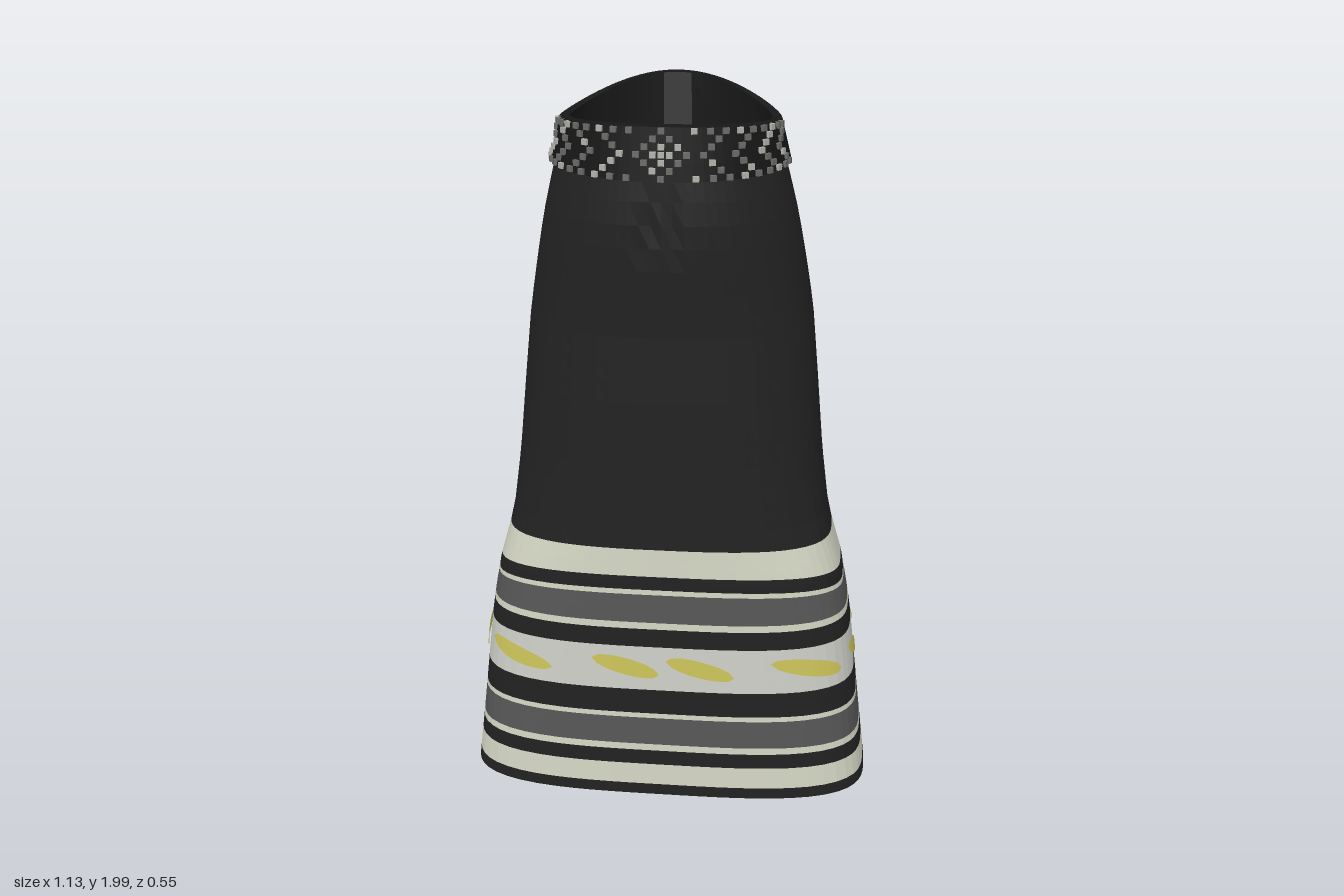
import * as THREE from 'three';
import { mergeGeometries } from 'three/addons/utils/BufferGeometryUtils.js';

const mat = (name, color) => {
  const m = new THREE.MeshStandardMaterial({ color, side: THREE.DoubleSide });
  m.name = name;
  return m;
};
const D = Math.PI / 180;
const SEG = 72;
const bell = (d, w) => Math.exp(-(d * d) / (w * w));

// Skirt cross-sections: height, half width, front z, back z, squareness
const ROWS = [
  [0.00, 0.570, 0.250, -0.250, 3.3],
  [0.20, 0.545, 0.250, -0.248, 3.3],
  [0.50, 0.510, 0.253, -0.245, 3.2],
  [0.70, 0.480, 0.255, -0.242, 3.1],
  [0.77, 0.455, 0.255, -0.238, 3.0],
  [0.82, 0.438, 0.255, -0.238, 2.9],
  [1.00, 0.415, 0.255, -0.250, 2.7],
  [1.20, 0.397, 0.255, -0.265, 2.6],
  [1.40, 0.378, 0.253, -0.276, 2.5],
  [1.50, 0.362, 0.260, -0.270, 2.4],
  [1.60, 0.345, 0.268, -0.255, 2.3],
  [1.70, 0.325, 0.270, -0.230, 2.2],
  [1.80, 0.300, 0.260, -0.190, 2.1],
  [1.86, 0.285, 0.240, -0.170, 2.1],
];

// Point on a rounded-box ring
function ring(t, y, a, zf, zb, n, scale = 1) {
  const c = Math.cos(t), s = Math.sin(t);
  const r = scale / Math.pow(Math.abs(c) ** n + Math.abs(s) ** n, 1 / n);
  return new THREE.Vector3(a * r * c, y, (zf + zb) / 2 + ((zf - zb) / 2) * r * s);
}

// Point on the cloth, with gathers below the waist and a sagging hem
function cloth(t, y, scale = 1) {
  let i = 0;
  while (i < ROWS.length - 2 && y > ROWS[i + 1][0]) i++;
  const A = ROWS[i], B = ROWS[i + 1], k = (y - A[0]) / (B[0] - A[0]);
  const [a, zf, zb, n] = [1, 2, 3, 4].map((j) => A[j] + (B[j] - A[j]) * k);
  const c = Math.cos(t), s = Math.sin(t);
  const deg = (((t / D) % 360) + 360) % 360;
  const lean = (1.75 - y) * 50;
  const gather = bell(deg - 92 - lean, 4) + bell(deg - 84 - lean * 0.4, 4)
    + bell(deg - 262 + lean, 4) + bell(deg - 278 - lean, 4);
  const fold = 1 - 0.04 * gather * bell(y - 1.69, 0.09);
  const sag = 0.03 * c ** 4 * bell(y - 0.69, 0.08)
    + (s < 0 ? 0.02 * Math.abs(Math.sin(2 * t)) * Math.exp(-y / 0.05) : 0);
  return ring(t, y - sag, a, zf, zb, n, scale * fold);
}

// Faceted surface from a grid of points f(u, v)
function loft(nu, nv, f) {
  const pos = [];
  const put = (...ps) => ps.forEach((p) => pos.push(p.x, p.y, p.z));
  for (let j = 0; j < nv; j++) for (let i = 0; i < nu; i++) {
    const a = f(i / nu, j / nv), b = f((i + 1) / nu, j / nv);
    const c = f((i + 1) / nu, (j + 1) / nv), d = f(i / nu, (j + 1) / nv);
    put(a, d, c, a, c, b);
  }
  const g = new THREE.BufferGeometry();
  g.setAttribute('position', new THREE.Float32BufferAttribute(pos, 3));
  g.computeVertexNormals();
  return g;
}

// Belt: top edge rises to a peak at the back
function beltPoint(t, v, inner) {
  const s = Math.sin(t);
  const top = 1.912 + (s > 0 ? 0.014 * s : 0.086 * Math.abs(s) ** 2.5);
  const bottom = 1.81 - 0.018 * s;
  const y = bottom + (top - bottom) * v;
  return inner
    ? ring(t, y, 0.268 - 0.008 * v, 0.225 - 0.013 * v, -0.16 + 0.006 * v, 2.15)
    : ring(t, y, 0.31 - 0.024 * v, 0.266 - 0.014 * v, -0.195 + 0.03 * v, 2.15);
}

export function createModel() {
  const black = mat('black cloth', 0x222222);
  const cream = mat('cream stripe', 0xd6d8c6);
  const pale = mat('pale band', 0xd2d2cc);
  const grey = mat('grey stripe', 0x585858);
  const yellow = mat('yellow leaf', 0xd0c75c);
  const beltBlack = mat('belt black', 0x171717);
  const beadGrey = mat('bead grey', 0x6c6c6a);
  const beadLight = mat('bead light', 0xb4b4ae);
  const claspGrey = mat('clasp grey', 0x3c3c3c);

  const model = new THREE.Group();
  model.name = 'skirt';
  const add = (name, geo, material) => {
    const m = new THREE.Mesh(geo, material);
    m.name = name;
    model.add(m);
  };
  const band = (name, y0, y1, rows, material) =>
    add(name, loft(SEG, rows, (u, v) => cloth(u * 2 * Math.PI, y0 + (y1 - y0) * v)), material);

  // Striped lower part, from the hem up
  const stripes = [
    [0.055, black], [0.12, cream], [0.165, black], [0.185, cream], [0.27, grey],
    [0.285, cream], [0.36, black], [0.495, pale], [0.55, black], [0.57, cream],
    [0.655, grey], [0.67, cream], [0.71, black], [0.79, cream],
  ];
  let y = 0.022;
  stripes.forEach(([top, material], i) => {
    band('stripe' + (i + 1), y, top, 2, material);
    y = top;
  });

  // Plain upper part
  band('upperSkirt', 0.79, 1.86, 18, black);

  // Hem turned inwards
  add('hemFold', loft(SEG, 2, (u, v) =>
    cloth(u * 2 * Math.PI, 0.022 + 0.03 * Math.max(0, v * 2 - 1), 1 - 0.035 * Math.min(1, v * 2))), black);

  // Slanted leaves around the pale band: angle, half spread in degrees
  const leaves = [
    [46, 13], [79, 10], [101, 10], [135, 13], [168, 13], [212, 13],
    [234, 8], [257, 10], [281, 10], [305, 10], [328, 13], [12, 13],
  ];
  const leafGeos = leaves.map(([mid, half]) => loft(12, 2, (u, v) => {
    const k = u * 2 - 1;
    const h = 0.026 * Math.sqrt(Math.max(0, 1 - k * k));
    return cloth((mid + k * half) * D, 0.432 + 0.022 * k + h * (v * 2 - 1), 1.012);
  }));
  add('leaves', mergeGeometries(leafGeos), yellow);

  // Belt: outer face, rounded top edge, inner face, lower edge
  const ringOf = (f, rows) => loft(SEG, rows, (u, v) => f(u * 2 * Math.PI, v));
  add('belt', mergeGeometries([
    ringOf((t, v) => beltPoint(t, v, false), 3),
    ringOf((t, v) => beltPoint(t, 1, false).lerp(beltPoint(t, 1, true), v), 1),
    ringOf((t, v) => beltPoint(t, 1 - v, true), 2),
    ringOf((t, v) => beltPoint(t, 0, true).lerp(beltPoint(t, 0, false), v), 1),
  ]), beltBlack);

  // Beadwork across the front of the belt: a central diamond and chevrons
  const greyBeads = [], lightBeads = [];
  for (let i = -20; i <= 20; i++) for (let j = -3; j <= 3; j++) {
    const u = Math.abs(i), w = Math.abs(j);
    const on = u < 4 ? u + w === 3 || u + w < 2 : (u - w) % 4 === 1 || (w === 3 && u % 4 === 2);
    if (!on) continue;
    const t = (90 - i * 4) * D;
    const p = beltPoint(t, 0.5 + j * 0.145, false);
    const tan = beltPoint(t - 0.02, 0.5, false).sub(beltPoint(t + 0.02, 0.5, false));
    const g = new THREE.BoxGeometry(0.016, 0.015, 0.014);
    g.rotateY(Math.atan2(-tan.z, tan.x));
    g.translate(p.x, p.y, p.z);
    ((i * 7 + j * 5 + 200) % 3 === 0 || u + w < 2 ? lightBeads : greyBeads).push(g);
  }
  add('greyBeads', mergeGeometries(greyBeads), beadGrey);
  add('lightBeads', mergeGeometries(lightBeads), beadLight);

  // Back clasp: a plate wrapping over the belt, with two cross bars
  const clasp = (inner, push) => loft(4, 3, (u, v) => {
    const p = beltPoint((262 + u * 16) * D, 0.1 + v * 0.88, inner);
    p.z += push;
    return p;
  });
  add('clasp', mergeGeometries([clasp(false, -0.006), clasp(true, 0.006)]), claspGrey);
  const bars = [0.25, 0.75].map((v) => {
    const p = beltPoint(270 * D, v, false);
    return new THREE.BoxGeometry(0.07, 0.018, 0.012).translate(0, p.y, p.z - 0.008);
  });
  add('claspBars', mergeGeometries(bars), beadGrey);

  return model;
}
